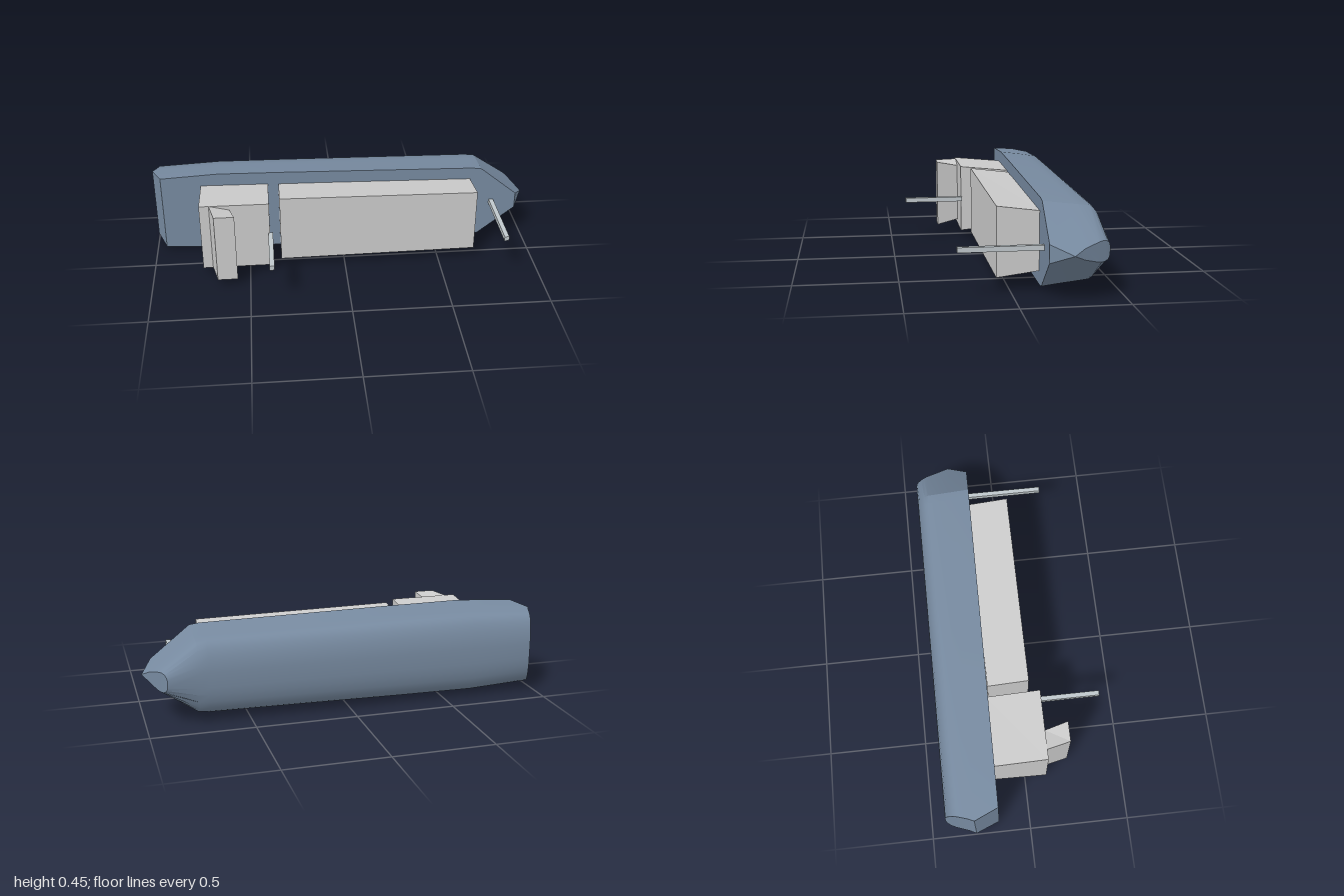
import * as THREE from 'three';
import { toCreasedNormals } from 'three/addons/utils/BufferGeometryUtils.js';

const CY = 0.227; // height of the ship's centreline
const lerp = THREE.MathUtils.lerp;
const material = (color) => new THREE.MeshStandardMaterial({ color });

// Hull lofted through waterlines, from the deck down to the keel.
function hullGeometry() {
  // [z, sheer slope along x, half width, stern x, bow x, bow half width]
  const levels = [
    [-0.147, 0.010, 0.225, -0.95, 0.945, 0.043],
    [-0.258, 0.018, 0.210, -1.00, 1.00, 0],
    [-0.300, 0.008, 0.204, -0.985, 0.968, 0.026],
    [-0.358, 0, 0.195, -0.968, 0.937, 0.045],
    [-0.375, 0, 0.183, -0.963, 0.927, 0.048],
    [-0.392, 0, 0.160, -0.958, 0.917, 0.048],
    [-0.407, 0, 0.122, -0.953, 0.908, 0.042],
    [-0.416, 0, 0.080, -0.950, 0.902, 0.032],
    [-0.420, 0, 0.040, -0.948, 0.898, 0.018],
  ];
  const positions = [], index = [], N = 6;
  for (const [z, sheer, half, stern, bow, bowHalf] of levels) {
    const side = [
      [stern, half * 0.92], [-0.65, half], [-0.3, half * 0.985],
      [0.70, half * 0.915], [0.75, half * 0.885], [bow, bowHalf],
    ];
    for (const [x, h] of side) positions.push(x, CY + h, z + sheer * x);
    for (const [x, h] of side.reverse()) positions.push(x, CY - h, z + sheer * x);
  }
  const ring = 2 * N, last = (levels.length - 1) * ring;
  const quad = (a, b, c, d) => index.push(a, b, c, a, c, d);
  for (let i = 0; i < levels.length - 1; i++) {
    for (let k = 0; k < ring; k++) {
      const a = i * ring + k, b = i * ring + (k + 1) % ring;
      quad(a, b, b + ring, a + ring);
    }
  }
  // deck and flat keel
  for (let k = 0; k < N - 1; k++) {
    const s = ring - 1 - k;
    quad(s, s - 1, k + 1, k);
    quad(last + k, last + k + 1, last + s - 1, last + s);
  }
  const g = new THREE.BufferGeometry();
  g.setAttribute('position', new THREE.Float32BufferAttribute(positions, 3));
  g.setIndex(index);
  return toCreasedNormals(g, 0.45);
}

// Box whose ends lean by shear and whose half widths differ at its four edges:
// base aft, base fore, top aft, top fore.
function taperedBox(x0, x1, z0, z1, [ba, bf, ta, tf], shear = 0) {
  const g = new THREE.BoxGeometry(1, 1, 1).toNonIndexed();
  const p = g.attributes.position;
  for (let i = 0; i < p.count; i++) {
    const u = p.getX(i) + 0.5, w = p.getZ(i) + 0.5;
    const half = lerp(lerp(ba, bf, u), lerp(ta, tf, u), w);
    p.setXYZ(i, lerp(x0, x1, u) + shear * w, CY + Math.sign(p.getY(i)) * half, lerp(z0, z1, w));
  }
  g.computeVertexNormals();
  return g;
}

export function createModel() {
  const group = new THREE.Group();
  const grey = material(0xcccccc), mastGrey = material(0xc0c8cc);
  const add = (name, geometry, mat) => {
    const mesh = new THREE.Mesh(geometry, mat);
    mesh.name = name;
    group.add(mesh);
  };

  add('hull', hullGeometry(), material(0x778aa0));
  add('deckhouse', taperedBox(-0.742, -0.39, -0.158, 0.11, [0.158, 0.155, 0.183, 0.182]), grey);
  add('cargoBlock', taperedBox(-0.335, 0.69, -0.148, 0.06, [0.155, 0.141, 0.18, 0.168]), grey);
  add('bridge', taperedBox(-0.692, -0.59, 0.11, 0.228, [0.183, 0.158, 0.183, 0.183], 0.027), grey);

  // masts: [name, x, base, tip]
  for (const [name, x, z0, z1] of [['aftMast', -0.387, 0.105, 0.42], ['foreMast', 0.813, -0.145, 0.253]]) {
    add(name, taperedBox(x - 0.012, x + 0.012, z0, z1, [0.012, 0.012, 0.012, 0.012]), mastGrey);
  }
  return group;
}
